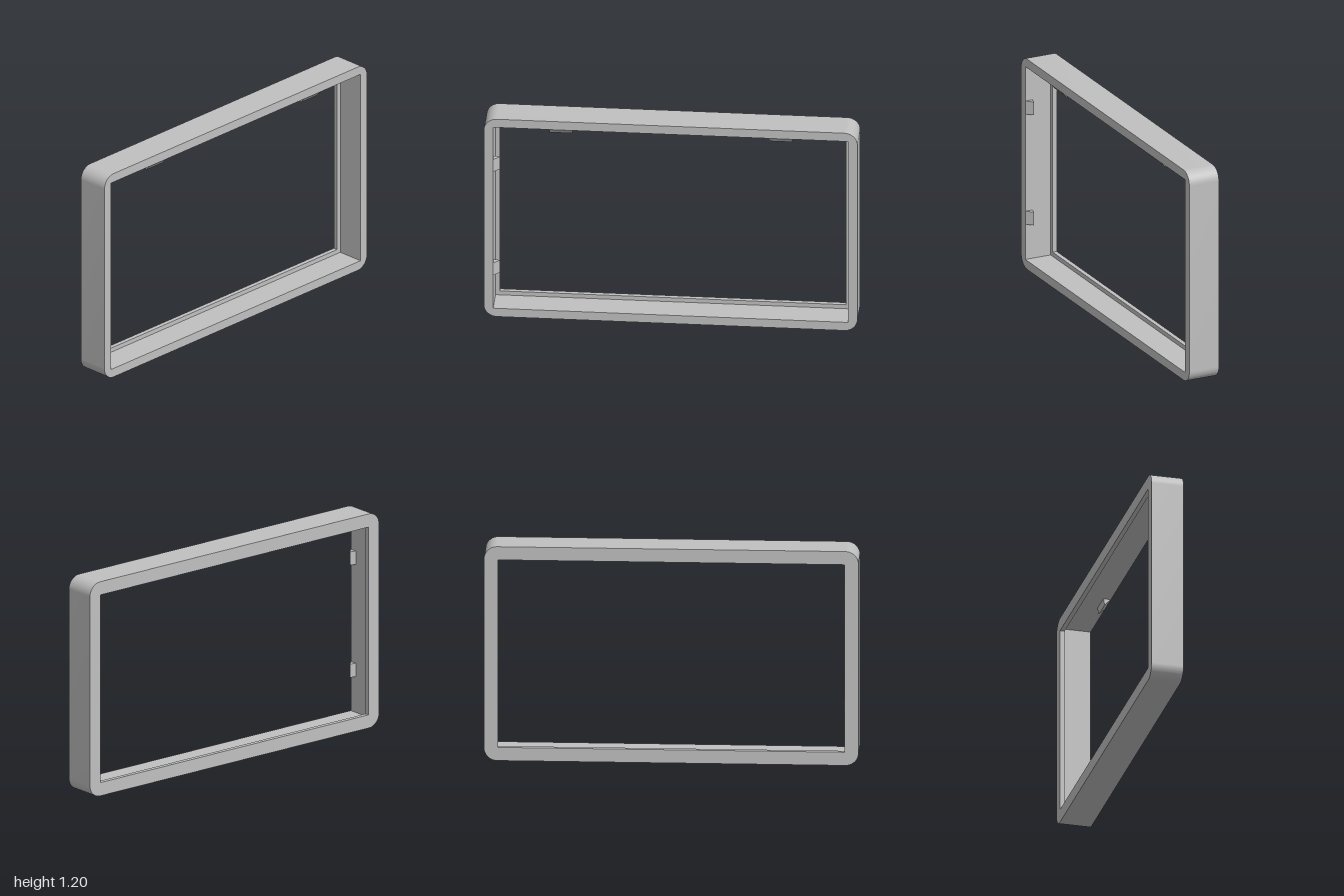
import * as THREE from 'three';
import { toCreasedNormals } from 'three/addons/utils/BufferGeometryUtils.js';

const H = 1.2, DEPTH = 0.176, RIM = 0.05, LIP = 0.074, RADIUS = 0.07;

// Rectangle inset from the overall outline, with optional round corners
function outline(inset, r, Type) {
  const x = 1 - inset, b = inset, t = H - inset;
  const s = new Type();
  if (r === 0) {
    s.moveTo(-x, b).lineTo(x, b).lineTo(x, t).lineTo(-x, t).closePath();
    return s;
  }
  s.moveTo(-x + r, b);
  s.lineTo(x - r, b);
  s.absarc(x - r, b + r, r, -Math.PI / 2, 0);
  s.lineTo(x, t - r);
  s.absarc(x - r, t - r, r, 0, Math.PI / 2);
  s.lineTo(-x + r, t);
  s.absarc(-x + r, t - r, r, Math.PI / 2, Math.PI);
  s.lineTo(-x, b + r);
  s.absarc(-x + r, b + r, r, Math.PI, Math.PI * 1.5);
  return s;
}

// Ring between two outlines, extruded forward from the back plane
function ring(outer, hole, depth) {
  outer.holes.push(hole);
  const g = new THREE.ExtrudeGeometry(outer, { depth, bevelEnabled: false, curveSegments: 12 });
  g.translate(0, 0, -DEPTH / 2);
  return toCreasedNormals(g, 0.5);
}

// Snap-in wedge standing on a wall at x = 0, pointing to +x, its length along y
function wedge(length) {
  const front = DEPTH / 2;
  const s = new THREE.Shape();
  s.moveTo(0, front).lineTo(0, front - 0.042).lineTo(0.035, front - 0.034).closePath();
  const g = new THREE.ExtrudeGeometry(s, { depth: length, bevelEnabled: false });
  g.translate(0, 0, -length / 2);
  g.rotateX(Math.PI / 2);
  return g;
}

export function createModel() {
  const model = new THREE.Group();
  model.name = 'bezelFrame';
  const grey = new THREE.MeshStandardMaterial({ color: 0xc0c0c0 });
  grey.name = 'grey';

  const add = (name, geometry) => {
    const mesh = new THREE.Mesh(geometry, grey);
    mesh.name = name;
    model.add(mesh);
    return mesh;
  };

  // Frame with rounded outer corners, and a thin lip around the back opening
  add('frame', ring(outline(0, RADIUS, THREE.Shape), outline(RIM, 0, THREE.Path), DEPTH));
  add('backLip', ring(outline(RIM, 0, THREE.Shape), outline(LIP, 0, THREE.Path), 0.025));

  // Clips on one side wall
  for (const y of [0.288, 0.917]) {
    add('sideClip', wedge(0.075)).position.set(-1 + RIM, y, 0);
  }

  // Clips under the top wall
  for (const x of [-0.588, 0.588]) {
    const clip = add('topClip', wedge(0.124));
    clip.rotation.z = -Math.PI / 2;
    clip.position.set(x, H - RIM, 0);
  }

  return model;
}
